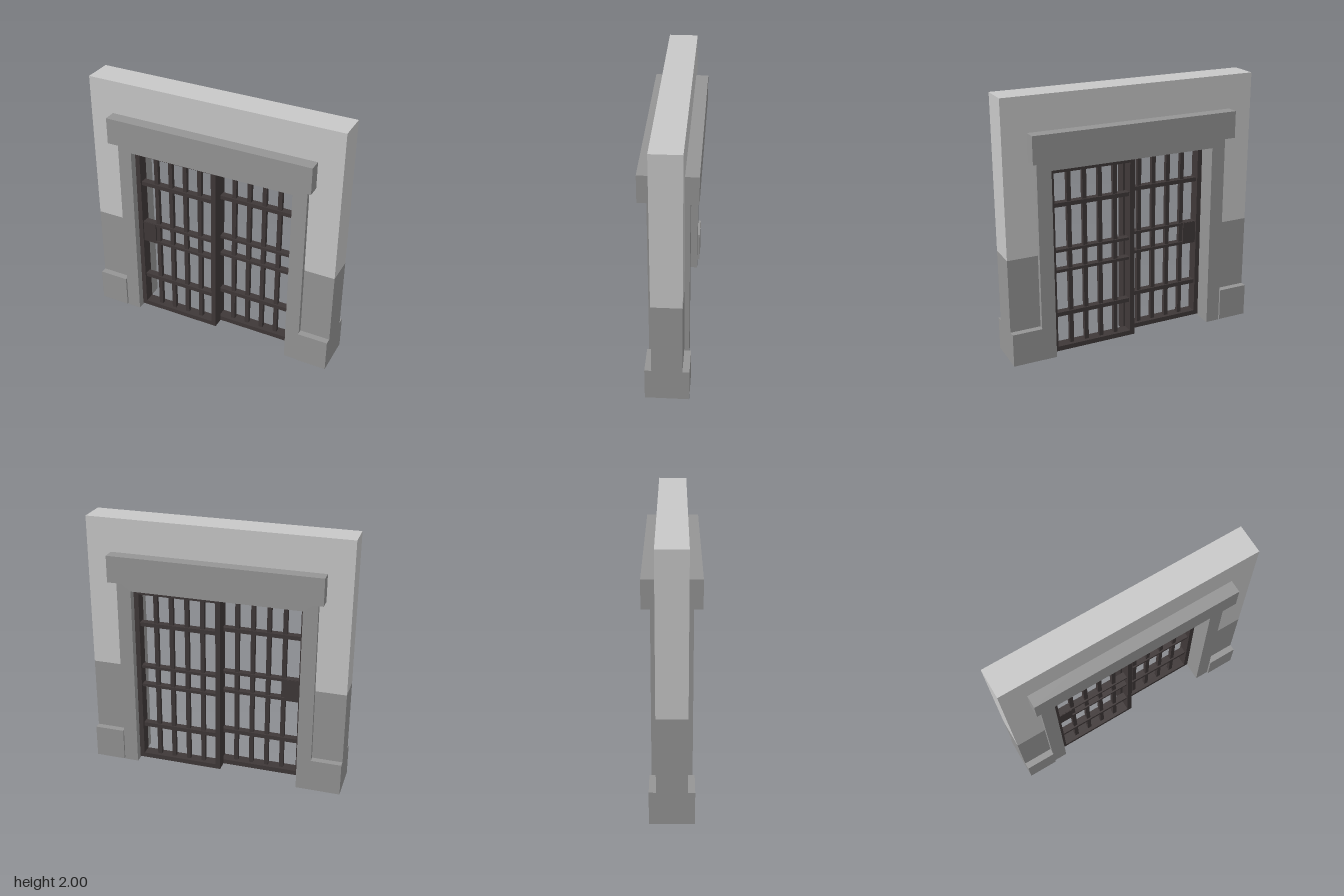
import * as THREE from 'three';

const mat = (name, color) => {
  const m = new THREE.MeshStandardMaterial({ color });
  m.name = name;
  return m;
};

export function createModel() {
  const plaster = mat('light plaster', 0xc8c8c8);
  const stone = mat('grey stone', 0x959595);
  const iron = mat('dark iron', 0x3f3838);

  // Box given by its extents on each axis
  const block = (parent, name, material, [x0, x1], [y0, y1], [z0, z1]) => {
    const mesh = new THREE.Mesh(new THREE.BoxGeometry(x1 - x0, y1 - y0, z1 - z0), material);
    mesh.position.set((x0 + x1) / 2, (y0 + y1) / 2, (z0 + z1) / 2);
    mesh.name = name;
    parent.add(mesh);
    return mesh;
  };

  const model = new THREE.Group();
  model.name = 'gateway';

  // Wall: plaster above, stone dado and plinth on both sides of the opening
  const wallZ = [-0.11, 0.11];
  block(model, 'upperWall', plaster, [-0.993, 0.993], [1.54, 2], wallZ);
  for (const s of [-1, 1]) {
    const side = s < 0 ? 'right' : 'left';
    const xs = s < 0 ? [-0.993, -0.76] : [0.76, 0.993];
    block(model, side + 'Wall', plaster, xs, [0.83, 1.54], wallZ);
    block(model, side + 'Dado', stone, xs, [0.265, 0.83], wallZ);
    block(model, side + 'Plinth', stone, xs, [0.01, 0.265], [-0.16, 0.16]);
  }

  // Door surround: two jambs and a head in one outline
  const outline = new THREE.Shape([
    [-0.76, 0], [-0.65, 0], [-0.65, 1.46], [0.65, 1.46],
    [0.65, 0], [0.76, 0], [0.76, 1.54], [-0.76, 1.54],
  ].map(([x, y]) => new THREE.Vector2(x, y)));
  const surround = new THREE.Mesh(
    new THREE.ExtrudeGeometry(outline, { depth: 0.29, bevelEnabled: false }), stone);
  surround.position.z = -0.145;
  surround.name = 'doorSurround';
  model.add(surround);

  block(model, 'lintel', stone, [-0.807, 0.807], [1.537, 1.742], [-0.205, 0.205]);

  // One barred leaf, standing in front of the centre plane
  const makeLeaf = (name) => {
    const leaf = new THREE.Group();
    leaf.name = name;
    const frameZ = [0.002, 0.088];
    block(leaf, 'outerStile', iron, [-0.65, -0.613], [0.012, 1.455], frameZ);
    block(leaf, 'meetingStile', iron, [-0.012, 0.026], [0.012, 1.455], frameZ);
    block(leaf, 'topRail', iron, [-0.613, -0.012], [1.42, 1.455], frameZ);
    block(leaf, 'bottomRail', iron, [-0.613, -0.012], [0.012, 0.049], frameZ);
    for (let i = 1; i <= 4; i++) {
      const x = -0.1225 * i;
      block(leaf, 'bar', iron, [x - 0.016, x + 0.016], [0.049, 1.42], [0.029, 0.061]);
    }
    for (const [y0, y1] of [[0.29, 0.322], [0.646, 0.668], [0.806, 0.827], [1.157, 1.188]]) {
      block(leaf, 'crossRail', iron, [-0.613, -0.012], [y0, y1], [0.018, 0.072]);
    }
    model.add(leaf);
    return leaf;
  };

  // Two leaves on parallel planes, the second turned half round
  const rightLeaf = makeLeaf('rightGateLeaf');
  block(rightLeaf, 'lockBox', iron, [-0.613, -0.505], [0.65, 0.824], [0.014, 0.076]);
  makeLeaf('leftGateLeaf').rotation.y = Math.PI;

  return model;
}
